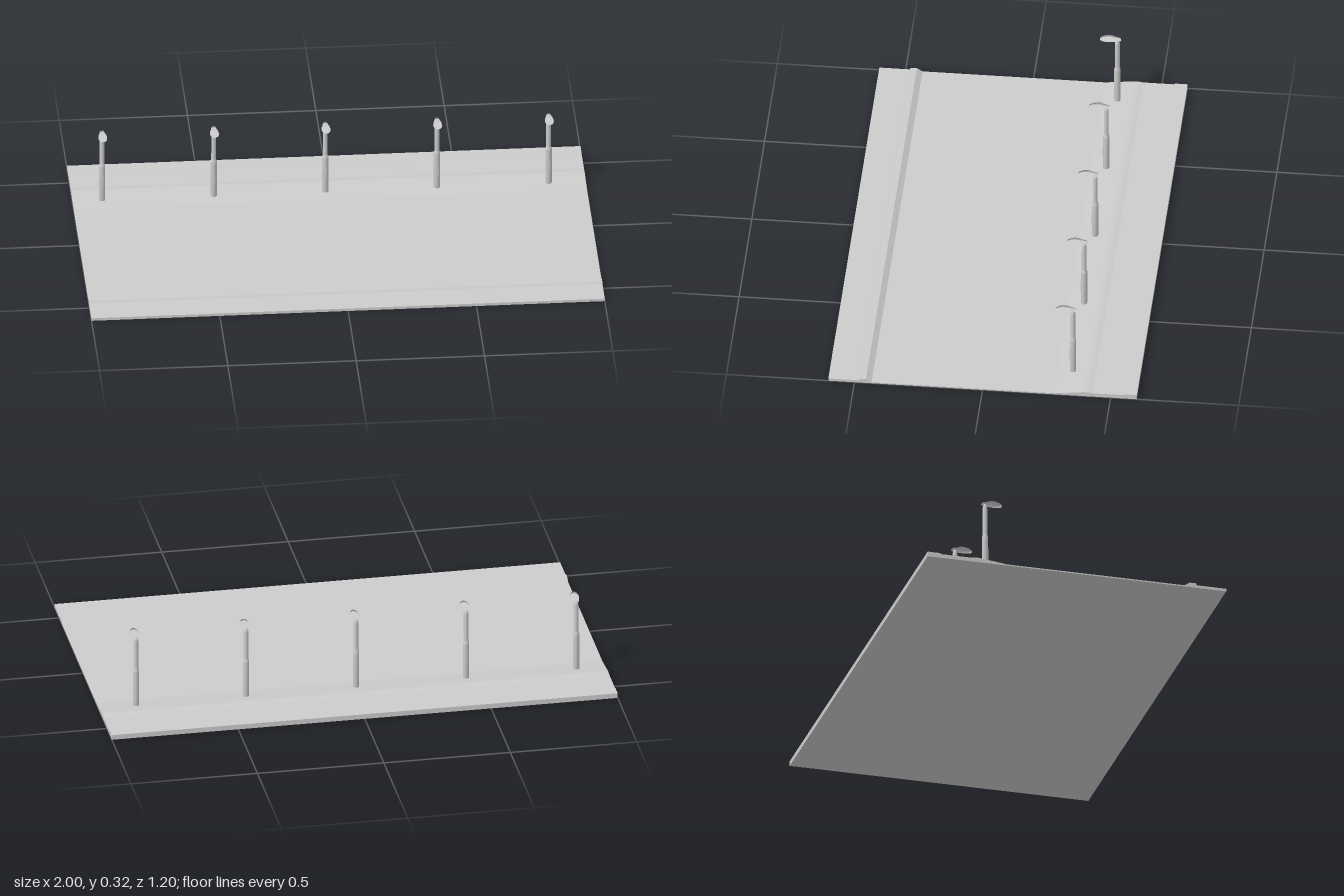
import * as THREE from 'three';

const material = new THREE.MeshStandardMaterial({ color: 0xcccccc });

function part(name, geometry) {
  const mesh = new THREE.Mesh(geometry, material);
  mesh.name = name;
  return mesh;
}

// Road slab: one profile in (z, y), swept along x
function roadGeometry() {
  const profile = [
    [0.602, 0], [0.602, 0.011], [0.484, 0.011], [0.478, 0.019], [0.455, 0.019], [0.433, 0.005],
    [-0.28, 0.005], [-0.395, 0.019], [-0.41, 0.019], [-0.43, 0.016],
    [-0.548, 0.016], [-0.552, 0.02], [-0.602, 0.02], [-0.602, 0],
  ];
  const shape = new THREE.Shape(profile.map(([z, y]) => new THREE.Vector2(z, y)));
  const geometry = new THREE.ExtrudeGeometry(shape, { depth: 2, bevelEnabled: false });
  return geometry.rotateY(-Math.PI / 2).translate(1, 0, 0);
}

// Lamp head: flat-bottomed domed sections [z, half width, height], lofted along z
function headGeometry() {
  const sections = [
    [0.068, 0.001, 0.003], [0.066, 0.007, 0.008], [0.06, 0.012, 0.012], [0.05, 0.016, 0.016],
    [0.036, 0.0175, 0.019], [0.022, 0.016, 0.0185], [0.009, 0.0125, 0.014],
    [0, 0.011, 0.012], [-0.008, 0.0095, 0.0105], [-0.013, 0.006, 0.007], [-0.015, 0.001, 0.002],
  ];
  const steps = 12, row = steps + 1, positions = [], index = [];
  for (const [z, w, h] of sections) {
    for (let i = 0; i <= steps; i++) {
      const a = (i / steps) * Math.PI;
      positions.push(w * Math.cos(a), h * Math.sin(a), z);
    }
  }
  // Separate flat underside keeps the rim sharp
  const under = positions.length / 3;
  for (const [z, w] of sections) positions.push(w, 0, z, -w, 0, z);
  for (let s = 0; s < sections.length - 1; s++) {
    for (let i = 0; i < steps; i++) {
      const a = s * row + i, b = a + row;
      index.push(a, a + 1, b, b, a + 1, b + 1);
    }
    const u = under + s * 2;
    index.push(u, u + 2, u + 1, u + 1, u + 2, u + 3);
  }
  const geometry = new THREE.BufferGeometry();
  geometry.setAttribute('position', new THREE.Float32BufferAttribute(positions, 3));
  geometry.setIndex(index);
  geometry.computeVertexNormals();
  return geometry;
}

// Pole: wide base, short shoulder, slimmer shaft
function poleGeometry() {
  const profile = [
    [0, 0.008], [0.0125, 0.008], [0.0125, 0.16], [0.0125, 0.164], [0.0095, 0.172],
    [0.0095, 0.178], [0.0092, 0.288], [0.0085, 0.295], [0.006, 0.301], [0.005, 0.306],
  ];
  return new THREE.LatheGeometry(profile.map(([r, y]) => new THREE.Vector2(r, y)), 20);
}

export function createModel() {
  const model = new THREE.Group();
  model.name = 'streetSection';
  model.add(part('road', roadGeometry()));

  const pole = poleGeometry();
  const head = headGeometry().translate(0, 0.304, 0);
  const hatch = new THREE.BoxGeometry(0.009, 0.048, 0.003).translate(0, 0.093, 0.012);

  // Row of five street lamps
  for (let i = 0; i < 5; i++) {
    const lamp = new THREE.Group();
    lamp.name = 'streetLamp';
    lamp.add(part('pole', pole), part('lampHead', head), part('serviceHatch', hatch));
    lamp.position.set(-0.885 + i * 0.435, 0, -0.339);
    model.add(lamp);
  }
  return model;
}
